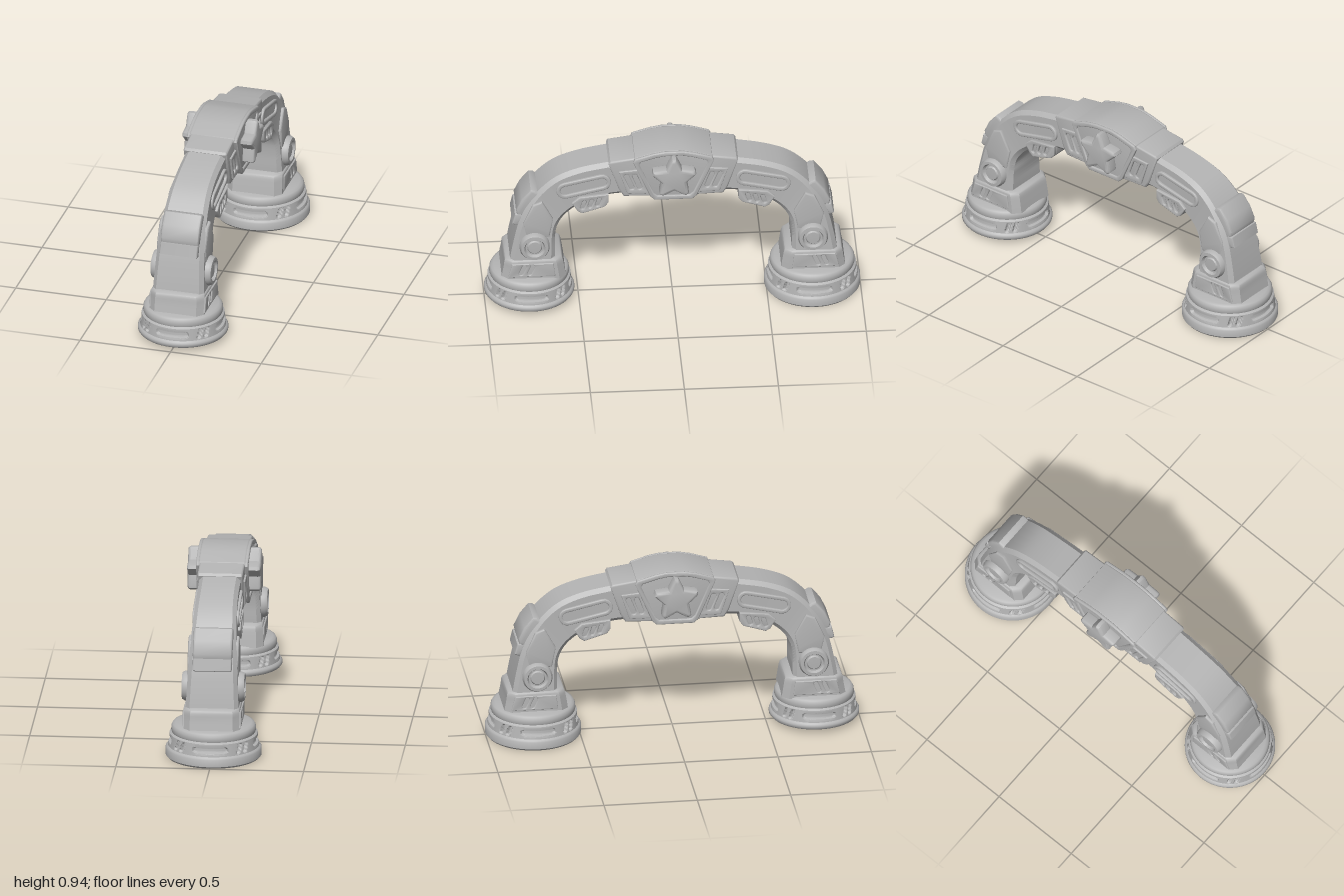
import * as THREE from 'three';
import { toCreasedNormals } from 'three/addons/utils/BufferGeometryUtils.js';

const grey = new THREE.MeshStandardMaterial({ color: 0xb4b4b4 });
grey.name = 'stone grey';

function add(group, name, geometry, crease = 0.7) {
  const mesh = new THREE.Mesh(toCreasedNormals(geometry, crease), grey);
  mesh.name = name;
  group.add(mesh);
  return mesh;
}

// Chamfered box section swept along stations of [outer z, outer y, inner z, inner y, half width]
function loft(stations, steps, chamfer) {
  const outer = new THREE.CatmullRomCurve3(stations.map(s => new THREE.Vector3(s[4], s[1], s[0])));
  const inner = new THREE.CatmullRomCurve3(stations.map(s => new THREE.Vector3(s[4], s[3], s[2])));
  const pos = [], index = [], n = 8;
  for (let i = 0; i <= steps; i++) {
    const o = outer.getPoint(i / steps), q = inner.getPoint(i / steps);
    const w = o.x, c = chamfer, k = c / Math.hypot(o.y - q.y, o.z - q.z);
    const ring = [[w, k], [w, 1 - k], [w - c, 1], [c - w, 1], [-w, 1 - k], [-w, k], [c - w, 0], [w - c, 0]];
    for (const [x, t] of ring) pos.push(x, q.y + (o.y - q.y) * t, q.z + (o.z - q.z) * t);
    if (i === steps) break;
    for (let j = 0; j < n; j++) {
      const a = i * n + j, b = i * n + (j + 1) % n;
      index.push(a, b, b + n, a, b + n, a + n);
    }
  }
  const end = steps * n;
  for (let j = 1; j < n - 1; j++) index.push(0, j + 1, j, end, end + j, end + j + 1);
  const g = new THREE.BufferGeometry();
  g.setAttribute('position', new THREE.Float32BufferAttribute(pos, 3));
  g.setIndex(index);
  g.computeVertexNormals();
  return g;
}

const vecs = pts => pts.map(p => new THREE.Vector2(...p));

// Outline of a slot running between two points
function slot(z1, y1, z2, y2, r) {
  const a = Math.atan2(y2 - y1, z2 - z1), pts = [];
  for (let i = 0; i <= 8; i++) {
    const t = a + Math.PI / 2 + i / 8 * Math.PI;
    pts.push([z1 + r * Math.cos(t), y1 + r * Math.sin(t)]);
  }
  for (let i = 0; i <= 8; i++) {
    const t = a - Math.PI / 2 + i / 8 * Math.PI;
    pts.push([z2 + r * Math.cos(t), y2 + r * Math.sin(t)]);
  }
  return pts;
}

// Side outline in (z, y) extruded from x0 to x1
function slab(outline, holes, x0, x1, bevel) {
  const shape = new THREE.Shape(vecs(outline));
  shape.holes = holes.map(h => new THREE.Path(vecs(h)));
  const depth = x1 - x0 - 2 * bevel;
  const g = new THREE.ExtrudeGeometry(shape, {
    depth, bevelEnabled: true, bevelThickness: bevel, bevelSize: bevel, bevelOffset: -bevel, bevelSegments: 3,
  });
  g.translate(0, 0, -depth / 2);
  g.rotateY(-Math.PI / 2);
  g.translate((x0 + x1) / 2, 0, 0);
  return g;
}

// The same panel on the left and right faces
function sidePanels(group, name, outline, holes, x0, x1, bevel = 0.005) {
  add(group, name + 'Left', slab(outline, holes, x0, x1, bevel));
  add(group, name + 'Right', slab(outline, holes, -x1, -x0, bevel));
}

// Round foot with recessed slots pressed into its wall
function footGeometry(radius, bottom) {
  const profile = [[0, bottom], [0.232, bottom], [0.24, bottom + 0.01], [0.24, 0.048], [0.235, 0.056]];
  for (let i = 0; i <= 16; i++) profile.push([0.228 - 0.008 * i / 16, 0.062 + 0.066 * i / 16]);
  profile.push([0.209, 0.136], [0.212, 0.145], [0.211, 0.165], [0.204, 0.178], [0.19, 0.184], [0, 0.188]);
  const g = new THREE.LatheGeometry(vecs(profile), 240);
  const p = g.attributes.position, quarter = Math.PI / 2;
  for (let i = 0; i < p.count; i++) {
    const x = p.getX(i), y = p.getY(i), z = p.getZ(i), r = Math.hypot(x, z);
    let s = 1;
    if (y > 0.061 && y < 0.129 && r > 0.2) {
      const a = Math.atan2(x, z), long = (a - Math.round(a / quarter) * quarter) * 0.22;
      const dLong = Math.hypot(Math.max(Math.abs(long) - 0.075, 0), y - 0.095) - 0.017;
      const f = a - quarter / 2, diag = (f - Math.round(f / quarter) * quarter) * 0.22 - (y - 0.095) * 0.3;
      const dPair = Math.hypot(Math.abs(diag) - 0.02, Math.max(Math.abs(y - 0.095) - 0.017, 0)) - 0.012;
      s = 1 - 0.07 * THREE.MathUtils.clamp(-Math.min(dLong, dPair) / 0.005, 0, 1);
    }
    const k = s * radius / 0.24;
    p.setXYZ(i, x * k, y, z * k);
  }
  return g;
}

// One half of the arch: limb, plates and fittings towards +z
function buildHalf(name) {
  const half = new THREE.Group();
  half.name = name;

  add(half, 'archLimb', loft([
    [0, 0.92, 0, 0.665, 0.108], [0.2, 0.885, 0.2, 0.665, 0.108], [0.35, 0.862, 0.33, 0.66, 0.11],
    [0.5, 0.832, 0.43, 0.635, 0.11], [0.62, 0.785, 0.53, 0.585, 0.113], [0.71, 0.71, 0.59, 0.53, 0.118],
    [0.775, 0.62, 0.62, 0.475, 0.125], [0.82, 0.52, 0.63, 0.4, 0.13], [0.85, 0.4, 0.63, 0.32, 0.136],
    [0.873, 0.27, 0.632, 0.24, 0.142], [0.885, 0.16, 0.635, 0.16, 0.147],
  ], 50, 0.022));

  // Ankle cuff with slanted slots
  add(half, 'ankleCuff', loft([
    [0.878, 0.297, 0.605, 0.297, 0.136], [0.895, 0.285, 0.592, 0.285, 0.146],
    [0.903, 0.24, 0.582, 0.24, 0.149], [0.915, 0.175, 0.572, 0.175, 0.151],
  ], 9, 0.035));
  sidePanels(half, 'anklePanel', [[0.86, 0.275], [0.64, 0.275], [0.63, 0.195], [0.88, 0.195]],
    [slot(0.795, 0.257, 0.812, 0.217, 0.011), slot(0.75, 0.257, 0.767, 0.217, 0.011)], 0.138, 0.156);

  // Leg side plate and round hub
  sidePanels(half, 'legPanel', [[0.8, 0.52], [0.75, 0.63], [0.7, 0.65], [0.64, 0.54], [0.655, 0.46], [0.66, 0.43], [0.78, 0.43]],
    [], 0.105, 0.136, 0.008);
  for (const s of [1, -1]) {
    const hub = new THREE.LatheGeometry(vecs([[0.08, -0.02], [0.08, 0.018], [0.072, 0.033], [0.056, 0.034],
      [0.048, 0.018], [0.04, 0.018], [0.034, 0.026], [0, 0.028]]), 40);
    hub.rotateZ(-s * Math.PI / 2);
    hub.translate(s * 0.133, 0.38, 0.74);
    add(half, s > 0 ? 'hubLeft' : 'hubRight', hub);
  }

  // Knee plates on the outer face
  add(half, 'kneePlate', slab([[0.758, 0.706], [0.735, 0.704], [0.68, 0.66], [0.75, 0.54], [0.83, 0.555], [0.836, 0.585], [0.805, 0.65]],
    [], -0.105, 0.105, 0.012));
  add(half, 'kneeLowerPlate', slab([[0.842, 0.56], [0.856, 0.5], [0.84, 0.492], [0.79, 0.49], [0.77, 0.56]], [], -0.104, 0.104, 0.008));

  // Long slot on the curved limb
  sidePanels(half, 'archSlotFrame', slot(0.575, 0.708, 0.38, 0.752, 0.048),
    [slot(0.575, 0.708, 0.38, 0.752, 0.027)], 0.1, 0.124);

  // Vent box under the limb
  const vent = [[0.345, 0.68], [0.345, 0.63], [0.365, 0.603], [0.485, 0.566], [0.51, 0.58], [0.54, 0.63], [0.5, 0.665]];
  add(half, 'ventBox', slab(vent, [], -0.113, 0.113, 0.012));
  sidePanels(half, 'ventFrame', vent,
    [0.4, 0.44, 0.48].map(z => slot(z - 0.006, 0.65 - (z - 0.4) * 0.2, z + 0.004, 0.618 - (z - 0.4) * 0.2, 0.011)), 0.105, 0.127);

  // Shoulder wedge beside the centre block
  add(half, 'shoulderWedge', slab([[0.345, 0.865], [0.335, 0.878], [0.2, 0.897], [0.1, 0.655], [0.265, 0.66], [0.29, 0.7]],
    [], -0.12, 0.12, 0.01));
  sidePanels(half, 'shoulderFrame', [[0.29, 0.82], [0.18, 0.83], [0.11, 0.68], [0.245, 0.68]],
    [slot(0.25, 0.79, 0.222, 0.72, 0.013), slot(0.206, 0.79, 0.18, 0.72, 0.013)], 0.112, 0.13);
  return half;
}

export function createModel() {
  const model = new THREE.Group();
  model.name = 'archway';

  const front = buildHalf('frontHalf'), back = buildHalf('backHalf');
  back.rotation.y = Math.PI;
  model.add(front, back);

  add(model, 'frontFoot', footGeometry(0.24, 0.025)).position.z = 0.76;
  add(model, 'backFoot', footGeometry(0.255, 0)).position.z = -0.745;

  // Centre block with a raised border
  const right = [[0.1, 0.642], [0.125, 0.665], [0.215, 0.88], [0.205, 0.9], [0.11, 0.929], [0.05, 0.94]];
  const block = [...right, ...right.map(([z, y]) => [-z, y]).reverse()];
  const inset = block.map(([z, y]) => [z * 0.85, 0.795 + (y - 0.795) * 0.83]);
  add(model, 'centreBlock', slab(block, [], -0.13, 0.13, 0.014));
  sidePanels(model, 'centreBorder', block, [inset], 0.12, 0.139, 0.006);

  // Puffy star on each side
  const star = [];
  for (let i = 0; i < 10; i++) {
    const a = Math.PI / 2 + i * Math.PI / 5;
    const at = (r, d) => [r * Math.cos(a + d), 0.8 + r * Math.sin(a + d)];
    if (i % 2) star.push(at(0.07, 0));
    else star.push(at(0.108, -0.17), at(0.119, -0.08), at(0.121, 0.08), at(0.108, 0.17));
  }
  sidePanels(model, 'star', star, [], 0.12, 0.196, 0.016);
  return model;
}
